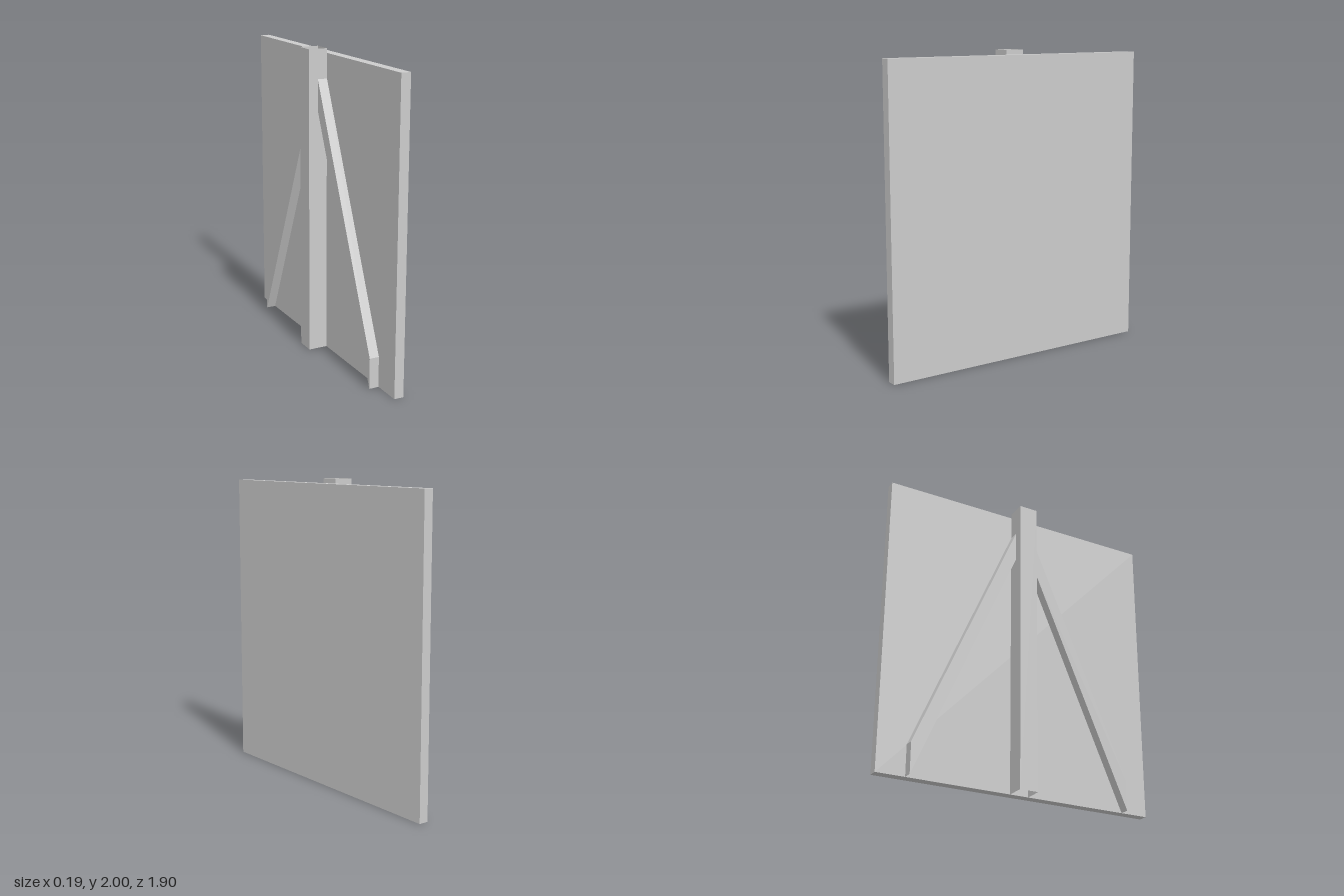
import * as THREE from 'three';

const material = new THREE.MeshStandardMaterial({ color: 0xcccccc, flatShading: true });
const openMaterial = new THREE.MeshStandardMaterial({ color: 0xcccccc, flatShading: true, side: THREE.DoubleSide });

// Open-ended square tube: four thin walls, no caps
function squareTube(size, height) {
  const geometry = new THREE.CylinderGeometry(size / Math.SQRT2, size / Math.SQRT2, height, 4, 1, true);
  return geometry.rotateY(Math.PI / 4);
}

// Sloping bar with upright ends; side = 1 leans to +z, -1 to -z
function braceGeometry(side, width) {
  const inner = 0.063, outer = 0.76, drop = 0.2, top = 1.81;
  const shape = new THREE.Shape([
    [outer, 0], [outer, drop], [inner, top], [inner, top - drop],
  ].map(([z, y]) => new THREE.Vector2(-side * z, y)));
  // Extrusion depth turns from +z to +x, shape x to -z
  return new THREE.ExtrudeGeometry(shape, { depth: width, bevelEnabled: false }).rotateY(Math.PI / 2);
}

export function createModel() {
  const model = new THREE.Group();
  const add = (name, geometry, mat, x, y) => {
    const mesh = new THREE.Mesh(geometry, mat);
    mesh.name = name;
    mesh.position.set(x, y, 0);
    model.add(mesh);
  };

  // Large square board on the +x side
  add('panel', new THREE.BoxGeometry(0.063, 1.97, 1.9), material, 0.063, 0.985);

  // Hollow post behind the board, slightly taller than it
  add('post', squareTube(0.126, 2), openMaterial, -0.032, 1);

  // Pair of diagonal braces running from the post to the ground
  add('frontBrace', braceGeometry(1, 0.064), material, -0.033, 0);
  add('backBrace', braceGeometry(-1, 0.064), material, -0.033, 0);

  return model;
}
